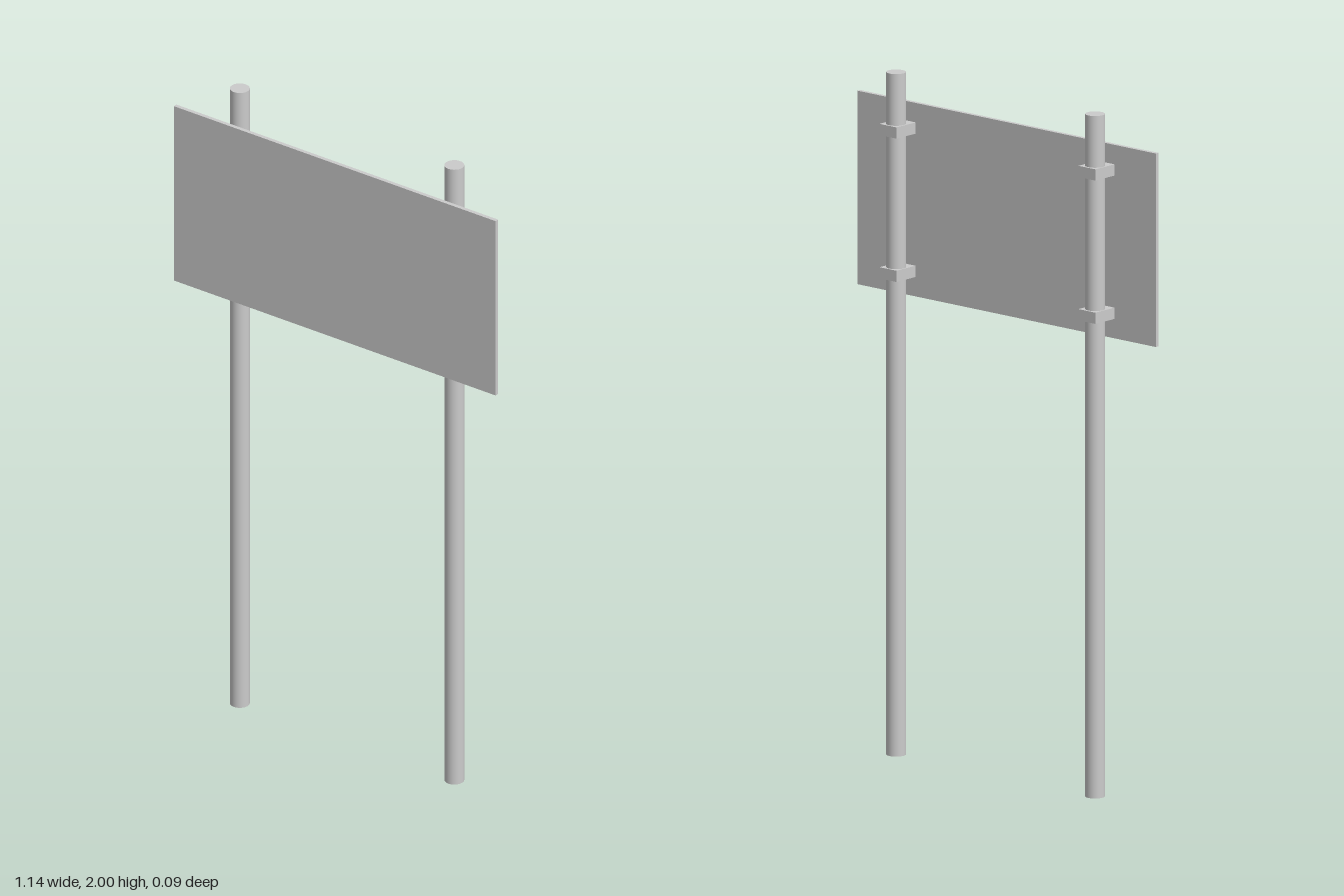
import * as THREE from 'three';

export function createModel() {
  const group = new THREE.Group();
  const material = new THREE.MeshStandardMaterial({ color: 0xcccccc });

  const add = (name, geometry, x, y, z) => {
    const mesh = new THREE.Mesh(geometry, material);
    mesh.name = name;
    mesh.position.set(x, y, z);
    group.add(mesh);
  };

  const panelY = 1.622;

  // Thin sign board in front of the posts
  add('signPanel', new THREE.BoxGeometry(1.14, 0.567, 0.012), 0, panelY, 0.041);

  // Two round posts, each clamped to the board by two brackets
  const postGeometry = new THREE.CylinderGeometry(0.0285, 0.0285, 2, 32);
  const bracketGeometry = new THREE.BoxGeometry(0.065, 0.033, 0.082);
  for (const [side, x] of [['left', 0.38], ['right', -0.38]]) {
    add(`${side}Post`, postGeometry, x, 1, -0.012);
    for (const [level, dy] of [['Upper', 0.21], ['Lower', -0.21]]) {
      add(`${side}${level}Bracket`, bracketGeometry, x, panelY + dy, -0.006);
    }
  }

  return group;
}
